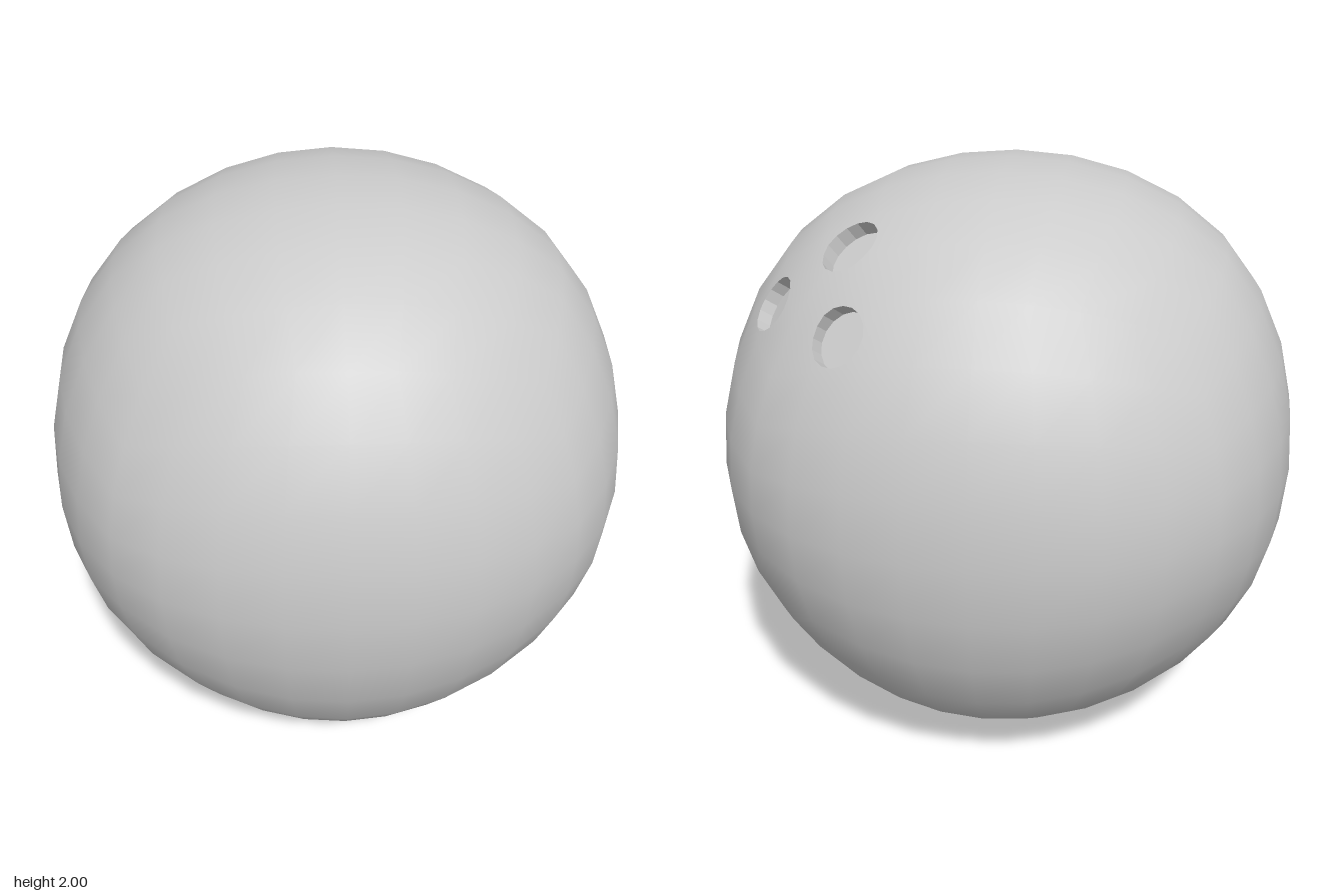
import * as THREE from 'three';
import { mergeVertices } from 'three/addons/utils/BufferGeometryUtils.js';

const SIDES = 16; // sides of each finger hole
const DEPTH = 0.055;
const HOLES = [
  { name: 'thumbHole', at: [0.44, 0.8, -0.45], r: 0.102 },
  { name: 'fingerHoleLeft', at: [0.71, 0.6, -0.43], r: 0.097 },
  { name: 'fingerHoleRight', at: [0.425, 0.6, -0.713], r: 0.097 },
];

// Rounded cube grid, swelling slightly towards the cube's edges and corners
function ballGeometry() {
  let g = new THREE.BoxGeometry(2, 2, 2, 8, 8, 8);
  g.deleteAttribute('uv');
  g.deleteAttribute('normal');
  g = mergeVertices(g, 1e-4);
  const pos = g.attributes.position;
  const v = new THREE.Vector3();
  const warp = (c) => Math.tan((c * Math.PI) / 4);
  for (let i = 0; i < pos.count; i++) {
    v.fromBufferAttribute(pos, i);
    v.set(warp(v.x), warp(v.y), warp(v.z)).normalize();
    const x = v.x * v.x, y = v.y * v.y, z = v.z * v.z;
    v.multiplyScalar(1 + 0.136 * (x * y + y * z + z * x) - 0.58 * x * y * z);
    pos.setXYZ(i, v.x, v.y, v.z);
  }
  g.computeVertexNormals();
  return g.toNonIndexed();
}

// Split a convex polygon by a signed distance function
function split(poly, dist) {
  const outside = [], inside = [];
  poly.forEach((a, i) => {
    const b = poly[(i + 1) % poly.length];
    const da = dist(a.p), db = dist(b.p);
    (da > 0 ? outside : inside).push(a);
    if (da > 0 !== db > 0) {
      const t = da / (da - db);
      const cut = { p: a.p.clone().lerp(b.p, t), n: a.n.clone().lerp(b.n, t).normalize() };
      outside.push(cut);
      inside.push(cut);
    }
  });
  return [outside, inside];
}

// Cut one prism-shaped hole out of the polygons; returns the remaining skin and the hole's walls
function drill(polys, hole) {
  const centre = new THREE.Vector3(...hole.at);
  const axis = centre.clone().normalize();
  const turn = new THREE.Quaternion().setFromUnitVectors(new THREE.Vector3(0, 0, 1), axis);
  const apothem = hole.r * Math.cos(Math.PI / SIDES);
  const floor = centre.length() - DEPTH;
  const edges = [];
  for (let k = 0; k < SIDES; k++) {
    const a = ((k + 0.5) * 2 * Math.PI) / SIDES;
    const n = new THREE.Vector3(Math.cos(a), Math.sin(a), 0).applyQuaternion(turn);
    edges.push((p) => n.dot(p) - apothem);
  }
  const drop = (p) => p.clone().addScaledVector(axis, floor - p.dot(axis));
  const skin = [], walls = [];
  for (const poly of polys) {
    if (poly.every((c) => c.p.distanceTo(centre) > 0.6)) {
      skin.push(poly);
      continue;
    }
    let rest = poly;
    const pieces = [];
    for (const edge of edges) {
      const [out, inn] = split(rest, edge);
      if (out.length > 2) pieces.push(out);
      rest = inn;
      if (rest.length < 3) break;
    }
    if (rest.length < 3) {
      skin.push(poly); // untouched by the hole
      continue;
    }
    skin.push(...pieces);
    rest.forEach((c, i) => {
      const a = c.p, b = rest[(i + 1) % rest.length].p;
      if (edges.some((e) => Math.abs(e(a)) < 1e-6 && Math.abs(e(b)) < 1e-6)) {
        walls.push(a, b, drop(b), a, drop(b), drop(a));
      }
    });
  }
  // Flat floor of the hole
  const rim = [];
  for (let k = 0; k < SIDES; k++) {
    const a = (k * 2 * Math.PI) / SIDES;
    rim.push(new THREE.Vector3(Math.cos(a) * hole.r, Math.sin(a) * hole.r, floor).applyQuaternion(turn));
  }
  const mid = axis.clone().multiplyScalar(floor);
  rim.forEach((p, k) => walls.push(mid, p, rim[(k + 1) % SIDES]));
  return { skin, walls };
}

export function createModel() {
  const group = new THREE.Group();
  group.name = 'ball';
  const material = new THREE.MeshStandardMaterial({ color: 0xcccccc });
  const add = (name, geometry) => {
    const mesh = new THREE.Mesh(geometry, material);
    mesh.name = name;
    mesh.position.y = 1;
    group.add(mesh);
  };

  // Gather the ball's triangles
  const base = ballGeometry();
  let polys = [];
  for (let i = 0; i < base.attributes.position.count; i += 3) {
    polys.push([0, 1, 2].map((j) => ({
      p: new THREE.Vector3().fromBufferAttribute(base.attributes.position, i + j),
      n: new THREE.Vector3().fromBufferAttribute(base.attributes.normal, i + j),
    })));
  }

  // Finger holes
  for (const hole of HOLES) {
    const { skin, walls } = drill(polys, hole);
    polys = skin;
    const g = new THREE.BufferGeometry().setFromPoints(walls);
    g.computeVertexNormals();
    add(hole.name, g);
  }

  // Outer skin
  const points = [], normals = [];
  for (const poly of polys) {
    for (let i = 1; i < poly.length - 1; i++) {
      for (const c of [poly[0], poly[i], poly[i + 1]]) {
        points.push(c.p);
        normals.push(c.n.x, c.n.y, c.n.z);
      }
    }
  }
  const skin = new THREE.BufferGeometry().setFromPoints(points);
  skin.setAttribute('normal', new THREE.Float32BufferAttribute(normals, 3));
  add('ballSkin', skin);
  return group;
}
